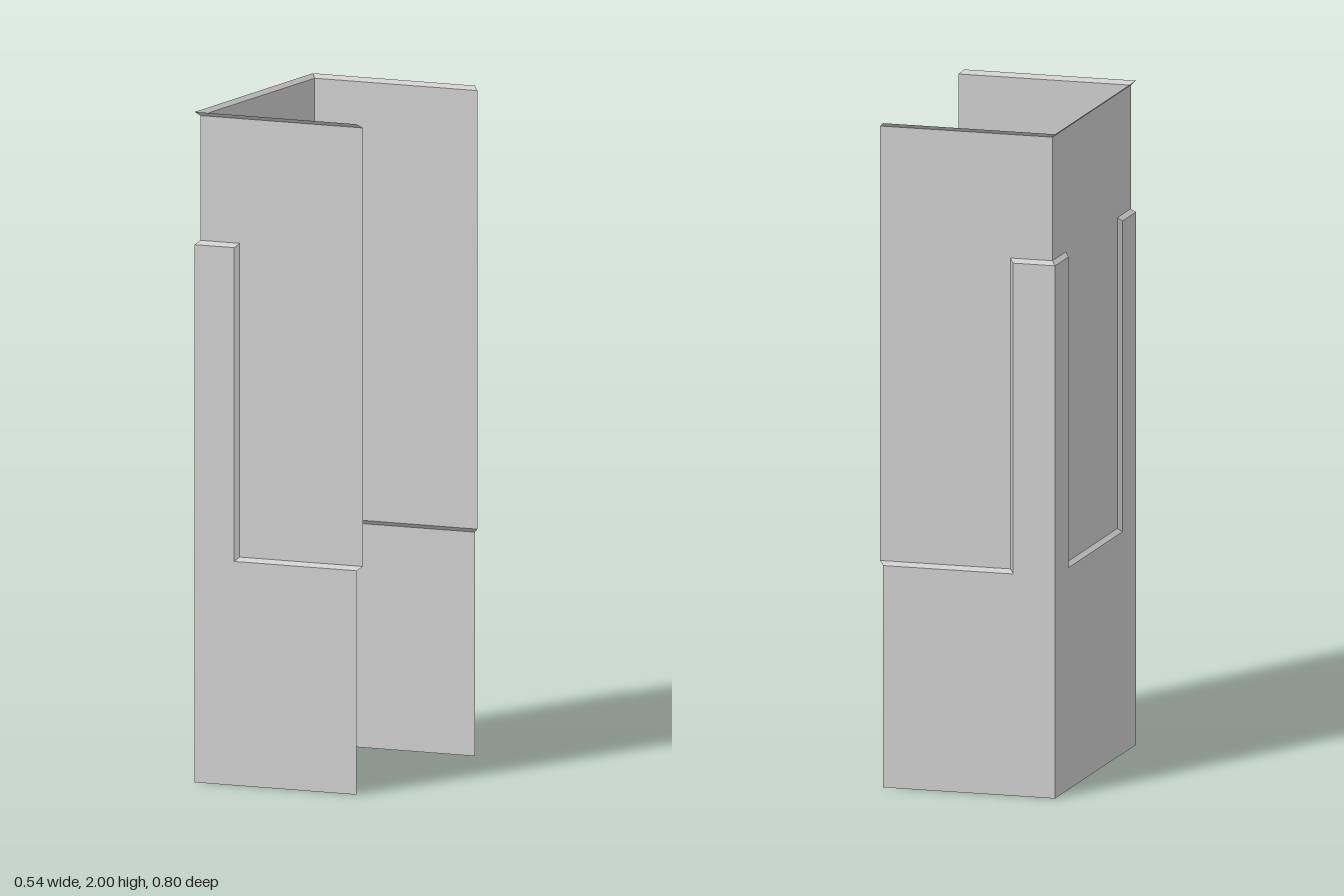
import * as THREE from 'three';

// Channel dimensions: the outer skin and the slightly recessed inner skin
const OUT = { x: 0.272, z: 0.4 };
const IN = { x: 0.26, z: 0.387 };
const LEDGE = [0.668, 0.68], SHOULDER = [1.604, 1.616], RIM = [2, 1.988];

const material = new THREE.MeshStandardMaterial({
  color: 0xcccccc, flatShading: true, side: THREE.DoubleSide,
});

export function createModel() {
  const group = new THREE.Group();

  function add(name, geometry) {
    geometry.computeVertexNormals();
    const mesh = new THREE.Mesh(geometry, material);
    mesh.name = name;
    group.add(mesh);
  }

  // Flat sheet from a 2D outline, placed at a depth by the wall's mapping
  function panel(name, outline, depth, place) {
    const geometry = new THREE.ShapeGeometry(
      new THREE.Shape(outline.map(([u, y]) => new THREE.Vector2(u, y))));
    const pos = geometry.attributes.position;
    for (let i = 0; i < pos.count; i++) {
      pos.setXYZ(i, ...place(pos.getX(i), pos.getY(i), depth));
    }
    add(name, geometry);
  }

  // Sloping strip joining an outer-skin line to an inner-skin line
  function bevel(name, outer, inner, dOut, dIn, place) {
    const points = [];
    for (let i = 0; i < outer.length - 1; i++) {
      const a = place(...outer[i], dOut), b = place(...outer[i + 1], dOut);
      const c = place(...inner[i + 1], dIn), d = place(...inner[i], dIn);
      points.push(...a, ...b, ...c, ...a, ...c, ...d);
    }
    const geometry = new THREE.BufferGeometry();
    geometry.setAttribute('position', new THREE.Float32BufferAttribute(points, 3));
    add(name, geometry);
  }

  // One wall: lower outer sheet, recessed upper sheet, step between, flared rim
  function wall(name, step, base, rim, dOut, dIn, place) {
    const [outer, inner] = step;
    const topIn = rim.map(([, u]) => [u, RIM[1]]);
    const topOut = rim.map(([u]) => [u, RIM[0]]);
    panel(name + 'LowerPanel', [...outer, ...base], dOut, place);
    panel(name + 'RecessedPanel', [...inner, ...topIn], dIn, place);
    bevel(name + 'Step', outer, inner, dOut, dIn, place);
    bevel(name + 'Rim', topOut, topIn, dOut, dIn, place);
  }

  // Two mirrored side walls with L-shaped steps
  const freeOut = 0.258, freeIn = 0.272;
  const sideStep = [0, 1].map((k) => [
    [[-OUT.x, -IN.x][k], SHOULDER[k]],
    [[-0.143, -0.131][k], SHOULDER[k]],
    [[-0.143, -0.131][k], LEDGE[k]],
    [[freeOut, freeIn][k], LEDGE[k]],
  ]);
  for (const [name, s] of [['frontWall', 1], ['backWall', -1]]) {
    wall(name, sideStep, [[freeOut, 0], [-OUT.x, 0]],
      [[freeOut, freeIn], [-OUT.x, -IN.x]], OUT.z, IN.z,
      (u, y, d) => [u, y, s * d]);
  }

  // Closed end wall with a U-shaped step
  const endStep = [0, 1].map((k) => {
    const half = [
      [[OUT.z, IN.z][k], SHOULDER[k]],
      [[0.267, 0.255][k], SHOULDER[k]],
      [[0.267, 0.255][k], LEDGE[k]],
    ];
    return [...half, ...half.map(([u, y]) => [-u, y]).reverse()];
  });
  wall('endWall', endStep, [[-OUT.z, 0], [OUT.z, 0]],
    [[-OUT.z, -IN.z], [OUT.z, IN.z]], OUT.x, IN.x,
    (u, y, d) => [-d, y, u]);

  return group;
}
